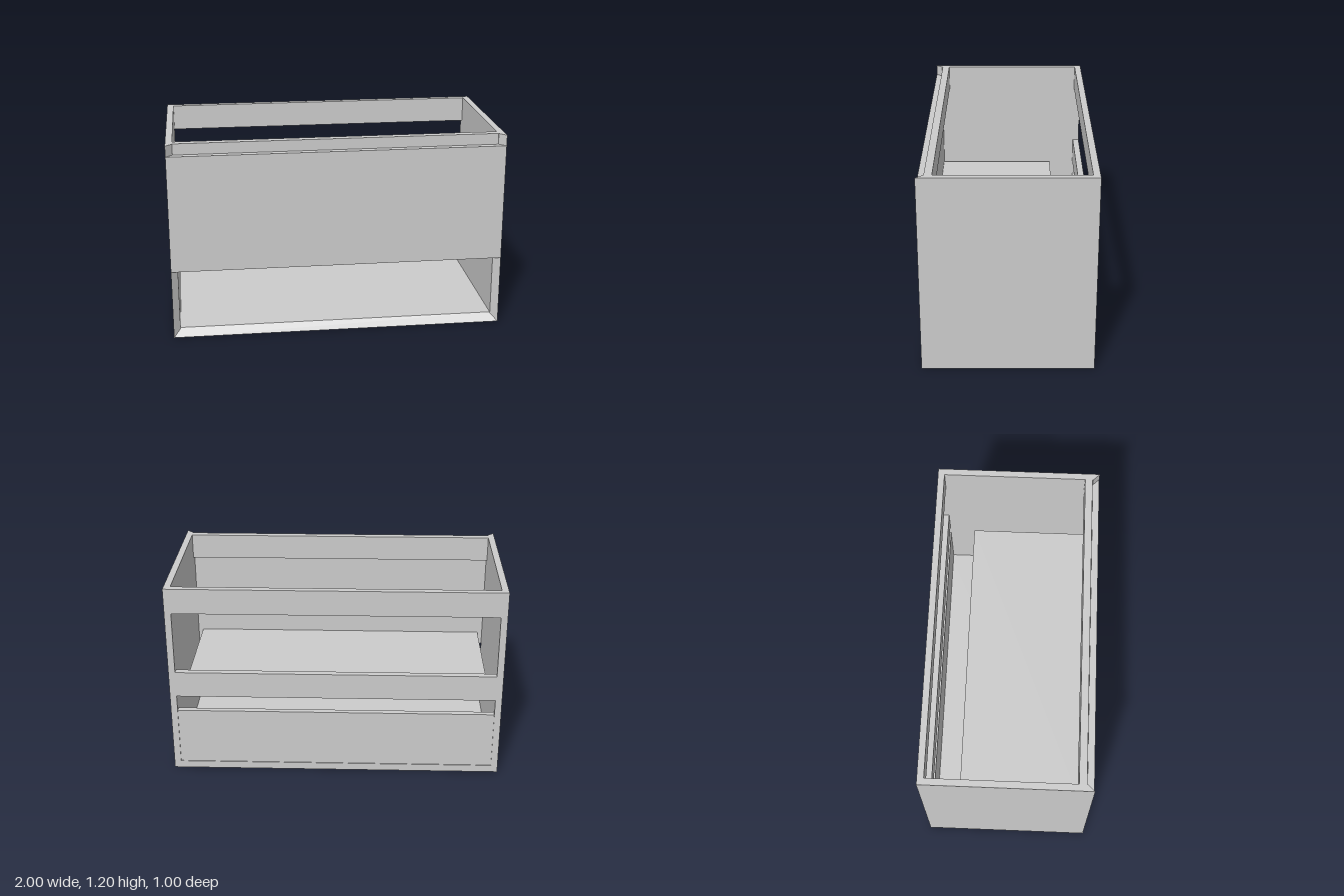
import * as THREE from 'three';

const W = 1, H = 1.2, D = 0.5, T = 0.04; // half width, height, half depth, board thickness

export function createModel() {
  const group = new THREE.Group();
  const material = new THREE.MeshStandardMaterial({ color: 0xcccccc, flatShading: true });

  const add = (name, geometry) => {
    const mesh = new THREE.Mesh(geometry, material);
    mesh.name = name;
    group.add(mesh);
  };

  // box given by its limits on each axis
  const board = (name, [x0, x1], [y0, y1], [z0, z1]) =>
    add(name, new THREE.BoxGeometry(x1 - x0, y1 - y0, z1 - z0)
      .translate((x0 + x1) / 2, (y0 + y1) / 2, (z0 + z1) / 2));

  const extrude = (points, depth) => new THREE.ExtrudeGeometry(
    new THREE.Shape(points.map(([a, b]) => new THREE.Vector2(a, b))),
    { depth, bevelEnabled: false });

  // upright prism from an (x, z) outline
  const upright = (name, outline, y0, y1) =>
    add(name, extrude(outline.map(([x, z]) => [x, -z]), y1 - y0)
      .rotateX(-Math.PI / 2).translate(0, y0, 0));

  // side panels, front edges mitred inward
  for (const [name, s] of [['leftSide', 1], ['rightSide', -1]]) {
    upright(name, [[s * W, -D], [s * W, D], [s * (W - T), D - T], [s * (W - T), -D]], 0, H);
  }

  // bottom panel, front edge mitred upward
  const B = 0.045;
  add('bottomPanel', extrude([[D, 0], [-D, 0], [-(D - B), B], [D, B]], 2 * W)
    .rotateY(Math.PI / 2).translate(-W, 0, 0));

  // drawer front, mitred to meet the sides
  upright('drawerFront', [[-W, D], [W, D], [W - T, D - T], [-(W - T), D - T]], 0.425, 1.135);

  // drawer floor behind the front
  board('drawerFloor', [-0.93, 0.93], [0.465, 0.505], [-0.295, D - T]);

  // rails and back panel between the sides
  const inner = [-(W - T), W - T];
  board('frontTopRail', inner, [1.045, H], [0.41, 0.455]);
  board('backTopRail', inner, [1.045, H], [-D, -D + T]);
  board('backMiddleRail', inner, [0.5, 0.66], [-D, -D + T]);
  board('backLowerPanel', inner, [B, 0.4], [-D + 0.005, -D + T]);

  return group;
}
